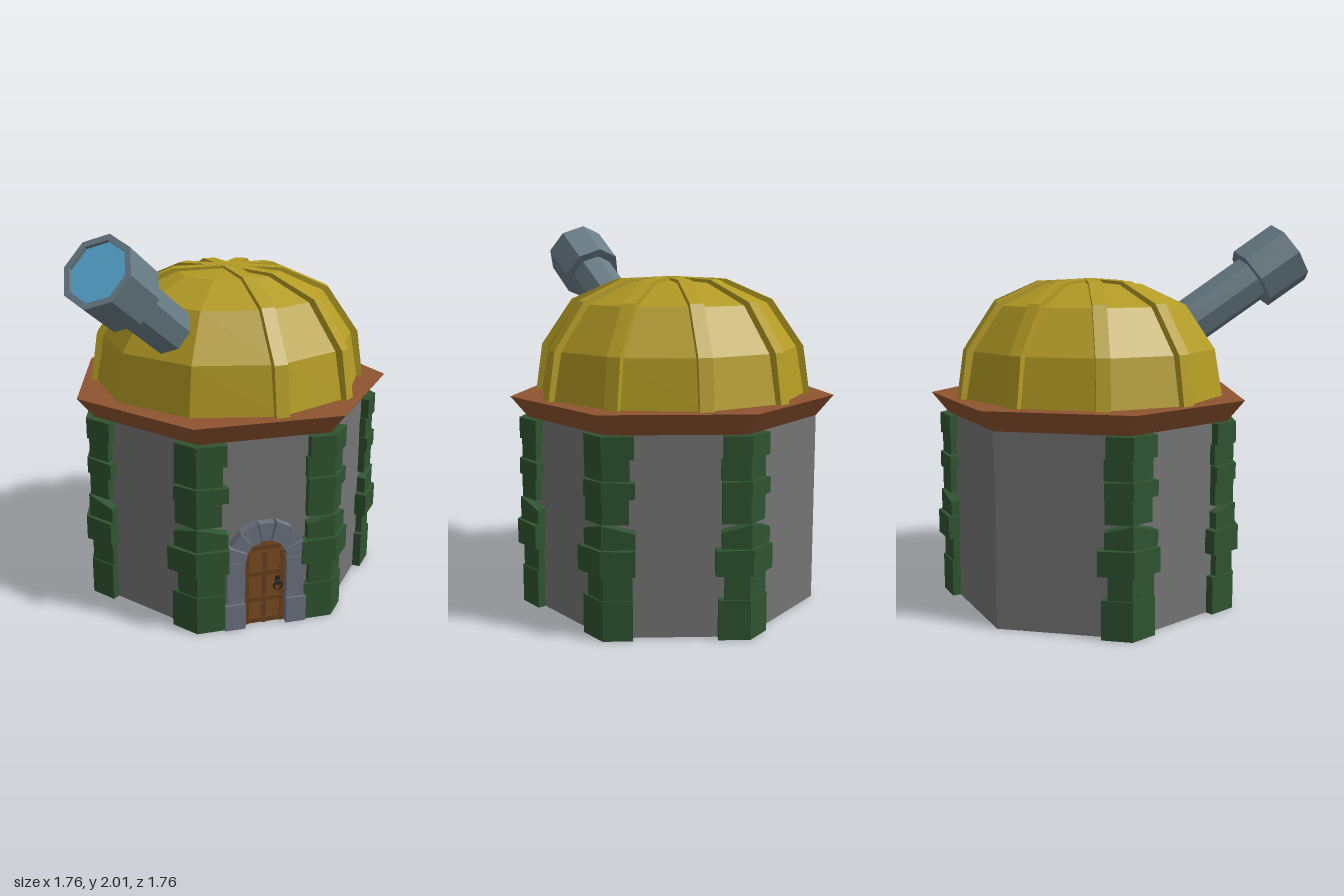
import * as THREE from 'three';

const mat = (color) => new THREE.MeshStandardMaterial({ color, flatShading: true });
const STONE = mat(0x757575), MOSS = mat(0x2f5430), WOOD = mat(0x8f5530), BRASS = mat(0xb39b24),
  STEEL = mat(0x6a7d87), GLASS = mat(0x58a8d2), ARCH = mat(0x6c7280), DOOR = mat(0x7a4b20),
  TRIM = mat(0x68401c), IRON = mat(0x2a2420);

const SIDES = 7, HALF = Math.PI / SIDES, R = 0.773, FRONT = R * Math.cos(HALF);

function add(parent, name, geometry, material, x = 0, y = 0, z = 0) {
  const mesh = new THREE.Mesh(geometry, material);
  mesh.name = name;
  mesh.position.set(x, y, z);
  parent.add(mesh);
  return mesh;
}

function group(parent, name) {
  const g = new THREE.Group();
  g.name = name;
  parent.add(g);
  return g;
}

const polygon = (pts) => new THREE.Shape(pts.map(([x, y]) => new THREE.Vector2(x, y)));
const extrude = (shape, depth) =>
  new THREE.ExtrudeGeometry(shape, { depth, bevelEnabled: false, curveSegments: 8 });

// L-shaped corner stone: t = thickness, a and b = leg lengths, droop tilts the legs
function cornerStone(t, a, b, y0, y1, droop) {
  const s = Math.sin(HALF), c = Math.cos(HALF);
  const on = (len, out) => [len * c + out * s, len * s - out * c];
  const [ax, ay] = on(a, t), [bx, by] = on(b, t), [cx, cy] = on(a, -0.02), [dx, dy] = on(b, -0.02);
  const g = extrude(polygon([[0, -t / c], [ax, ay], [cx, cy], [0, 0.02], [-dx, dy], [-bx, by]]), y1 - y0);
  g.rotateX(-Math.PI / 2);
  const p = g.attributes.position;
  for (let i = 0; i < p.count; i++) {
    const y = p.getY(i);
    if (y > 0.01) p.setY(i, y - droop * Math.abs(p.getX(i)));
  }
  return g.translate(0, y0, R);
}

function buildWalls(parent) {
  add(parent, 'wall', new THREE.CylinderGeometry(R, R, 1, SIDES, 1, true, HALF), STONE, 0, 0.5);
  add(parent, 'floor', new THREE.CircleGeometry(R, SIDES, Math.PI / 2 + HALF).rotateX(Math.PI / 2), WOOD, 0, 0.002);
  add(parent, 'eaves', new THREE.CylinderGeometry(0.863, R, 0.11, SIDES, 1, false, HALF), WOOD, 0, 1.055);

  // mossy stones stacked on every corner but the back one
  const levels = [0, 0.2, 0.325, 0.455, 0.575, 0.7, 0.785, 0.89, 1];
  const thick = [0.043, 0.035, 0.062, 0.045, 0.035, 0.045, 0.032, 0.042];
  const legs = [0.13, 0.115, 0.145, 0.13, 0.115, 0.13, 0.12, 0.125];
  const droops = [0, 0.05, 0.03, 0.3, 0, 0.05, 0, 0];
  for (let k = 0; k < SIDES; k++) {
    if (k === 3) continue;
    const column = group(parent, 'cornerStones');
    column.rotation.y = HALF * (2 * k + 1);
    thick.forEach((t, i) => {
      const shift = i % 2 ? 0.01 : -0.005;
      add(column, 'cornerStone',
        cornerStone(t, legs[i] + shift, legs[i] - shift, levels[i], levels[i + 1], droops[i]), MOSS);
    });
  }
}

function buildDoor(parent) {
  const g = group(parent, 'doorway');
  g.position.z = FRONT;
  const spring = 0.37, inner = 0.108, outer = 0.205;

  // arched leaf with raised rails and stiles
  const leaf = new THREE.Shape();
  leaf.moveTo(-0.11, 0);
  leaf.lineTo(0.11, 0);
  leaf.lineTo(0.11, spring);
  leaf.absarc(0, spring, 0.11, 0, Math.PI, false);
  add(g, 'door', extrude(leaf, 0.025), DOOR, 0, 0, -0.01);
  for (const y of [0.02, 0.14, 0.285, 0.43])
    add(g, 'doorRail', new THREE.BoxGeometry(y > 0.4 ? 0.17 : 0.21, 0.025, 0.012), TRIM, 0, y, 0.018);
  for (const x of [-0.092, 0, 0.092])
    add(g, 'doorStile', new THREE.BoxGeometry(0.022, 0.4, 0.008), TRIM, x, 0.2, 0.016);
  add(g, 'handlePlate', new THREE.BoxGeometry(0.022, 0.05, 0.01), IRON, 0.068, 0.235, 0.024);
  add(g, 'handleRing', new THREE.TorusGeometry(0.022, 0.005, 6, 12), IRON, 0.068, 0.21, 0.03);

  // jamb stones on both sides
  for (const side of [-1, 1]) {
    add(g, 'jambBase', new THREE.BoxGeometry(0.106, 0.14, 0.065), ARCH, side * 0.16, 0.07, 0.0225);
    add(g, 'jamb', new THREE.BoxGeometry(0.093, 0.225, 0.055), ARCH, side * 0.155, 0.2535, 0.0175);
  }

  // wedge stones of the arch
  const count = 7, step = Math.PI / count;
  for (let i = 0; i < count; i++) {
    const a = i * step + 0.02, b = (i + 1) * step - 0.02, r = outer + (i % 2 ? 0 : 0.006);
    const at = (q, rad) => [Math.cos(q) * rad, Math.sin(q) * rad];
    const wedge = polygon([at(a, inner), at(a, r), at(b, r), at(b, inner)]);
    add(g, 'archStone', extrude(wedge, i % 2 ? 0.055 : 0.062), ARCH, 0, spring, -0.01);
  }
}

function buildDome(parent) {
  const g = group(parent, 'dome');
  const profile = [[0.715, 1.11], [0.672, 1.355], [0.515, 1.585], [0.28, 1.692], [0, 1.71]];
  const turn = THREE.MathUtils.degToRad(6), segments = 10;
  add(g, 'domeShell',
    new THREE.LatheGeometry(profile.map(([x, y]) => new THREE.Vector2(x, y)), segments, turn), BRASS);

  // raised ribs along the shell edges, left out beside the telescope
  const outline = [[0.735, 1.11], [0.698, 1.36], [0.532, 1.602], [0.289, 1.708], [0, 1.722]];
  const inside = profile.map(([x, y]) => [x * 0.93, y - (y > 1.11 ? 0.03 : 0)]).reverse();
  const rib = extrude(polygon([...outline, ...inside]), 0.07).translate(0, 0, -0.035);
  for (let k = 0; k < 8; k++)
    add(g, 'domeRib', rib, BRASS).rotation.y = turn + (k * 2 * Math.PI) / segments - Math.PI / 2;
}

function buildTelescope(parent) {
  const g = group(parent, 'telescope');
  const dir = new THREE.Vector3(-1, 0.97, 1).normalize();
  g.position.set(-0.784, 1.86, 0.762); // centre of the open end
  g.quaternion.setFromUnitVectors(new THREE.Vector3(0, 1, 0), dir);
  add(g, 'tube', new THREE.CylinderGeometry(0.127, 0.127, 0.62, 8), STEEL, 0, -0.53);
  // hood with a rim around the recessed lens
  const hood = [[0, -0.25], [0.178, -0.25], [0.178, 0], [0.148, 0], [0.148, -0.025]];
  add(g, 'hood', new THREE.LatheGeometry(hood.map(([x, y]) => new THREE.Vector2(x, y)), 8), STEEL);
  add(g, 'lens', new THREE.CircleGeometry(0.149, 8).rotateX(-Math.PI / 2), GLASS, 0, -0.018);
}

export function createModel() {
  const model = new THREE.Group();
  model.name = 'observatory';
  const tower = group(model, 'tower');
  tower.position.set(0.044, 0, -0.027);
  buildWalls(tower);
  buildDoor(tower);
  buildDome(tower);
  buildTelescope(tower);
  return model;
}
